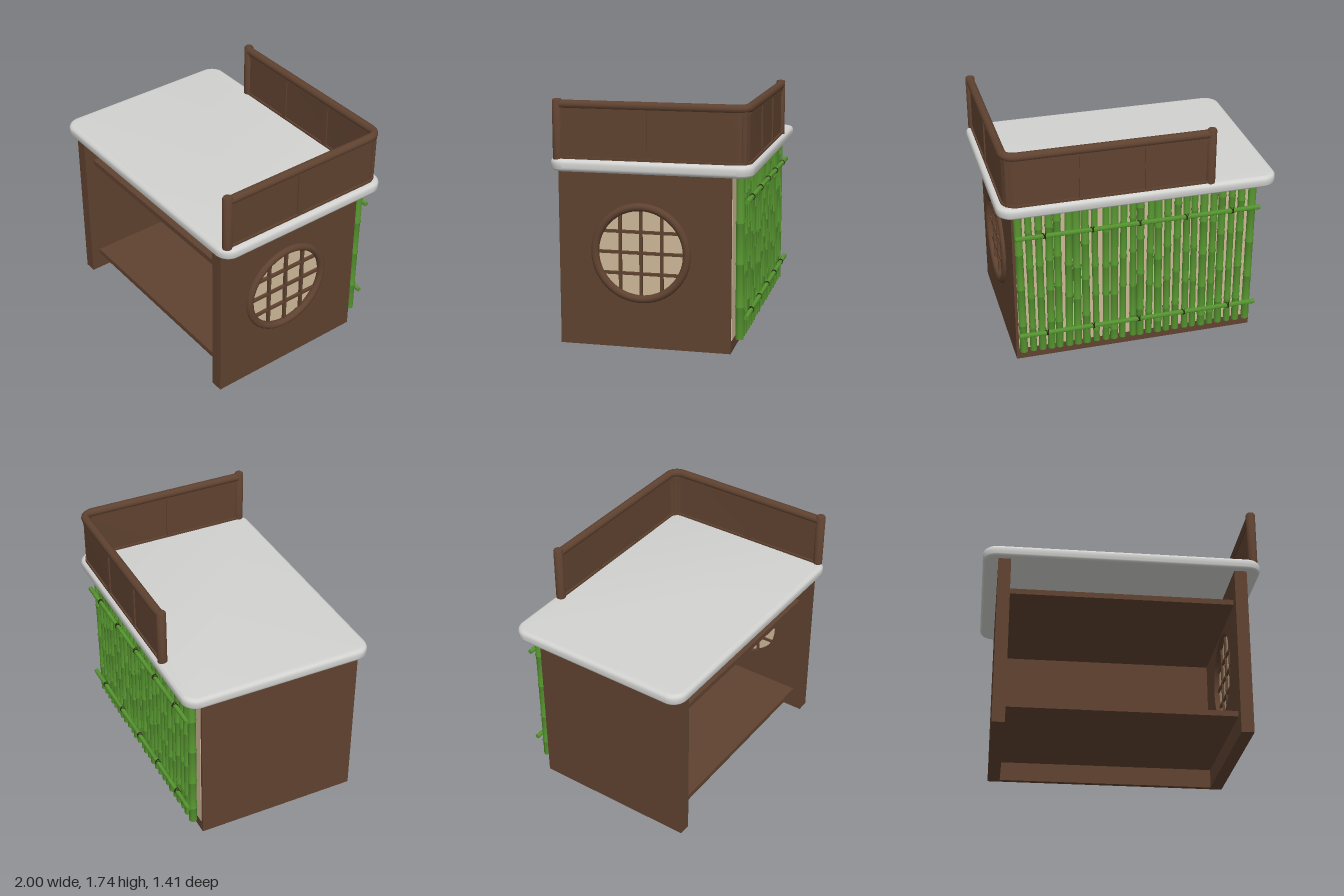
import * as THREE from 'three';
import { toCreasedNormals } from 'three/addons/utils/BufferGeometryUtils.js';

const material = (name, color) => {
  const m = new THREE.MeshStandardMaterial({ color });
  m.name = name;
  return m;
};

export function createModel() {
  const wood = material('brown wood', 0x5f4230);
  const stone = material('pale stone', 0xd2d2d0);
  const paper = material('beige paper', 0xcdb898);
  const bamboo = material('bamboo green', 0x55932f);
  const tie = material('dark tie', 0x2a2a18);

  const model = new THREE.Group();
  model.name = 'counter';
  const add = (name, geo, mat, x = 0, y = 0, z = 0, parent = model) => {
    const mesh = new THREE.Mesh(geo, mat);
    mesh.name = name;
    mesh.position.set(x, y, z);
    parent.add(mesh);
    return mesh;
  };
  // Box given by its limits on each axis
  const block = (name, mat, [x0, x1], [y0, y1], [z0, z1], parent) =>
    add(name, new THREE.BoxGeometry(x1 - x0, y1 - y0, z1 - z0), mat,
      (x0 + x1) / 2, (y0 + y1) / 2, (z0 + z1) / 2, parent);

  // Cabinet: plain wall, back, two shelves
  block('rightWall', wood, [-0.89, -0.8], [0, 1.245], [-0.55, 0.66]);
  block('backWall', wood, [-0.8, 0.8], [0, 1.245], [-0.55, -0.51]);
  for (const [name, y] of [['lowerShelf', 0.14], ['upperShelf', 1.0]])
    block(name, wood, [-0.8, 0.8], [y, y + 0.04], [-0.51, 0.59]);
  block('backPaper', paper, [-0.87, 0.87], [0.09, 1.24], [-0.555, -0.549]);

  // Wall with the round window; shape x runs along -z
  const wy = 0.675, wz = 0.08;
  const wall = new THREE.Shape([[-0.66, 0], [0.55, 0], [0.55, 1.245], [-0.66, 1.245]]
    .map(p => new THREE.Vector2(...p)));
  wall.holes.push(new THREE.Path().absarc(-wz, wy, 0.31, 0, Math.PI * 2, true));
  const wallGeo = new THREE.ExtrudeGeometry(wall, { depth: 0.09, bevelEnabled: false, curveSegments: 48 });
  wallGeo.rotateY(Math.PI / 2);
  add('leftWall', toCreasedNormals(wallGeo, 0.6), wood, 0.8);

  const win = new THREE.Group();
  win.name = 'roundWindow';
  win.position.set(0, wy, wz);
  model.add(win);
  add('windowPaper', new THREE.CylinderGeometry(0.311, 0.311, 0.03, 48).rotateZ(Math.PI / 2), paper, 0.855, 0, 0, win);
  add('windowRing', new THREE.TorusGeometry(0.324, 0.028, 12, 64).rotateY(Math.PI / 2), wood, 0.89, 0, 0, win);
  for (const d of [-0.147, 0, 0.147]) {
    const h = Math.sqrt(0.31 ** 2 - d * d);
    block('latticeUpright', wood, [0.825, 0.893], [-h, h], [d - 0.01, d + 0.01], win);
    block('latticeCrossbar', wood, [0.827, 0.89], [d - 0.01, d + 0.01], [-h, h], win);
  }

  // Countertop with rounded corners and edges
  const b = 0.03, X = 1 - b, Z = 0.705 - b, r = 0.08;
  const top = new THREE.Shape();
  top.absarc(X - r, Z - r, r, 0, Math.PI / 2);
  top.absarc(-X + r, Z - r, r, Math.PI / 2, Math.PI);
  top.absarc(-X + r, -Z + r, r, Math.PI, Math.PI * 1.5);
  top.absarc(X - r, -Z + r, r, Math.PI * 1.5, Math.PI * 2);
  const topGeo = new THREE.ExtrudeGeometry(top, {
    depth: 0.085 - 2 * b, bevelThickness: b, bevelSize: b, bevelSegments: 5, curveSegments: 10,
  });
  topGeo.rotateX(-Math.PI / 2);
  add('countertop', toCreasedNormals(topGeo, 0.7), stone, 0, 1.24 + b, 0);

  // L-shaped screen: bands follow a path round the back left corner
  const screen = new THREE.Group();
  screen.name = 'screen';
  model.add(screen);
  const screenPath = o => {
    const pts = [[-0.5, -0.66 - o]];
    for (let i = 0; i <= 8; i++) {
      const a = (i / 8) * Math.PI / 2;
      pts.push([0.86 + (0.08 + o) * Math.sin(a), -0.58 - (0.08 + o) * Math.cos(a)]);
    }
    pts.push([0.94 + o, 0.64]);
    return pts;
  };
  const band = (name, t, y0, y1) => {
    const outline = [...screenPath(t / 2), ...screenPath(-t / 2).reverse()];
    const shape = new THREE.Shape(outline.map(([x, z]) => new THREE.Vector2(x, -z)));
    const geo = new THREE.ExtrudeGeometry(shape, { depth: y1 - y0, bevelEnabled: false });
    geo.rotateX(-Math.PI / 2);
    add(name, toCreasedNormals(geo, 0.6), wood, 0, y0, 0, screen);
  };
  band('screenPanel', 0.02, 1.32, 1.69);
  band('screenBottomRail', 0.045, 1.32, 1.34);
  band('screenUpperRail', 0.04, 1.655, 1.69);
  const railCurve = new THREE.CurvePath();
  const line = screenPath(0).map(([x, z]) => new THREE.Vector3(x, 1.695, z));
  for (let i = 1; i < line.length; i++) railCurve.add(new THREE.LineCurve3(line[i - 1], line[i]));
  add('screenTopRail', new THREE.TubeGeometry(railCurve, 150, 0.031, 12), wood, 0, 0, 0, screen);
  for (const x of [-0.05, 0.41])
    block('screenStile', wood, [x - 0.022, x + 0.022], [1.32, 1.69], [-0.68, -0.64], screen);
  block('screenStile', wood, [0.92, 0.96], [1.32, 1.69], [0.015, 0.06], screen);
  add('screenCornerPost', new THREE.CylinderGeometry(0.024, 0.024, 0.37, 12), wood, 0.917, 1.505, -0.637, screen);
  const postProfile = [[0, 0], [0.034, 0], [0.034, 0.4], [0.028, 0.411], [0, 0.415]]
    .map(p => new THREE.Vector2(...p));
  for (const [x, z] of [[-0.503, -0.66], [0.942, 0.643]])
    add('screenEndPost', toCreasedNormals(new THREE.LatheGeometry(postProfile, 20), 0.7), wood, x, 1.32, z, screen);

  // Bamboo fence on the back
  let seed = 7;
  const rand = () => (seed = (seed * 16807) % 2147483647) / 2147483647;
  const culm = (radius, length, step) => {
    const pts = [[0, 0], [radius, 0]];
    for (let y = step * (0.3 + 0.6 * rand()); y < length - 0.05; y += step * (0.85 + 0.3 * rand()))
      pts.push([radius * 0.96, y - 0.012], [radius * 1.14, y], [radius * 0.96, y + 0.012]);
    pts.push([radius, length], [0, length]);
    return toCreasedNormals(new THREE.LatheGeometry(pts.map(p => new THREE.Vector2(...p)), 12), 0.9);
  };
  const fence = new THREE.Group();
  fence.name = 'bambooFence';
  model.add(fence);
  const count = 26;
  for (let i = 0; i < count; i++) {
    const x = -0.83 + (1.67 * i) / (count - 1) + (rand() - 0.5) * 0.016;
    const pole = add('bambooCulm', culm(0.024 + 0.006 * rand(), 1.135, 0.27), bamboo, x, 0.1, -0.603, fence);
    pole.rotation.z = (rand() - 0.5) * 0.02;
  }
  for (const y of [0.265, 1.065]) {
    const rail = add('bambooRail', culm(0.017, 1.77, 0.3), bamboo, 0.885, y, -0.655, fence);
    rail.rotation.z = Math.PI / 2;
    // Lashings round the rail
    for (let i = 0; i < 5; i++)
      for (const s of [-0.008, 0.008])
        add('lashing', new THREE.TorusGeometry(0.018, 0.004, 6, 14).rotateY(Math.PI / 2 + s * 40), tie,
          -0.68 + i * 0.34 + s, y, -0.655, fence);
  }
  return model;
}
